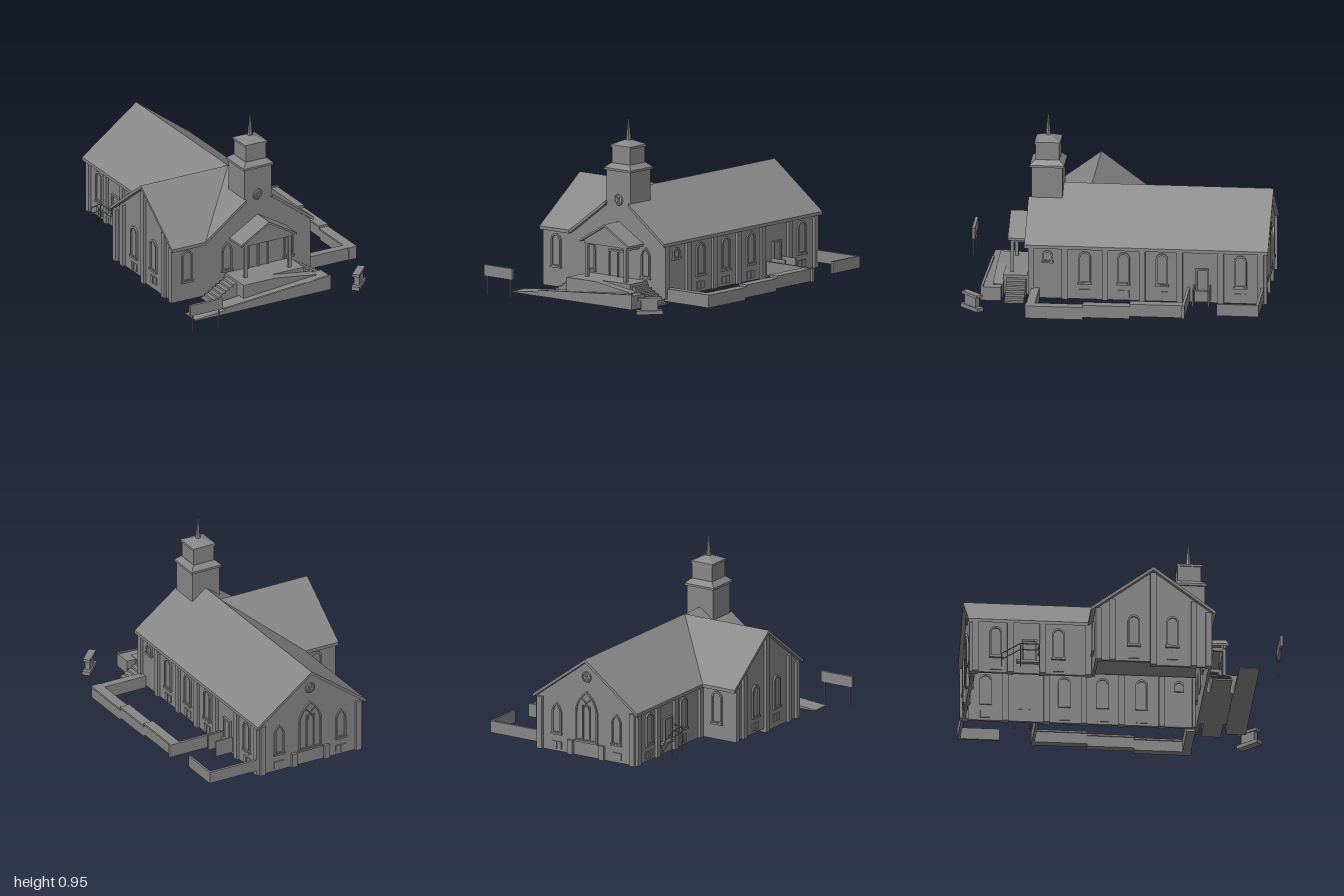
import * as THREE from 'three';

// Local frame of the church: x runs along the nave (front gable at +x), z across it.
const mat = new THREE.MeshStandardMaterial({ color: 0x878787, flatShading: true, side: THREE.DoubleSide });
const RIDGE = 0.578, SLOPE = 0.745, WING_X = 0.118;

export function createModel() {
  const model = new THREE.Group();
  const site = new THREE.Group();
  site.name = 'churchSite';
  site.rotation.y = -THREE.MathUtils.degToRad(40);
  model.add(site);

  const add = (name, geo, parent = site) => {
    const m = new THREE.Mesh(geo, mat);
    m.name = name;
    parent.add(m);
    return m;
  };
  // box given by its limits
  const box = (name, x0, x1, y0, y1, z0, z1, parent) => {
    const m = add(name, new THREE.BoxGeometry(x1 - x0, y1 - y0, z1 - z0), parent);
    m.position.set((x0 + x1) / 2, (y0 + y1) / 2, (z0 + z1) / 2);
    return m;
  };
  const poly = (pts) => new THREE.Shape(pts.map((p) => new THREE.Vector2(...p)));
  const extrude = (shape, depth) => new THREE.ExtrudeGeometry(shape, { depth, bevelEnabled: false, curveSegments: 8 });
  // profile in (z, y) pulled from x0 to x1
  const alongX = (name, pts, x0, x1) => {
    const m = add(name, extrude(poly(pts), x1 - x0));
    m.rotation.y = -Math.PI / 2;
    m.position.x = x1;
    return m;
  };
  // profile in (x, y) pulled from z0 to z1
  const alongZ = (name, pts, z0, z1) => {
    const m = add(name, extrude(poly(pts), z1 - z0));
    m.position.z = z0;
    return m;
  };
  const bar = (name, a, b, r = 0.003) => {
    const p = new THREE.Vector3(...a), q = new THREE.Vector3(...b);
    return add(name, new THREE.TubeGeometry(new THREE.LineCurve3(p, q), 1, r, 6));
  };
  const square = (name, top, bottom, y0, y1, x) => {
    const geo = new THREE.CylinderGeometry(top * Math.SQRT1_2, bottom * Math.SQRT1_2, y1 - y0, 4);
    geo.rotateY(Math.PI / 4);
    add(name, geo).position.set(x, (y0 + y1) / 2, 0);
  };

  // Walls, open underneath
  const top = (d) => RIDGE - 0.02 - SLOPE * Math.abs(d);
  alongX('frontWall', [[-0.31, 0.01], [0.515, 0.01], [0.515, top(0.31)], [0.31, top(0.31)], [0, top(0)], [-0.31, top(0.31)]], 0.415, 0.43);
  alongX('backWall', [[-0.31, 0.03], [0.31, 0.03], [0.31, top(0.31)], [0, top(0)], [-0.31, top(0.31)]], -0.83, -0.815);
  alongZ('wingGableWall', [[-0.19, 0.03], [WING_X, 0.03], [WING_X, 0.01], [0.43, 0.01], [0.43, top(0.31)], [WING_X, top(0)], [-0.19, top(0.31)]], 0.5, 0.515);
  box('rightWall', -0.83, 0.43, 0.03, 0.325, -0.31, -0.295);
  box('leftWall', -0.83, -0.19, 0.03, 0.325, 0.295, 0.31);
  box('wingBackWall', -0.19, -0.175, 0.03, 0.325, 0.3, 0.515);

  // Roofs: main gable (cut round the tower) and wing, mitred into the valleys
  const eave = RIDGE - SLOPE * 0.333;
  const chevron = (c) => [[c - 0.333, eave - 0.018], [c, RIDGE - 0.018], [c + 0.333, eave - 0.018], [c + 0.333, eave], [c, RIDGE], [c - 0.333, eave]];
  alongX('mainRoof', chevron(0), -0.853, 0.27);
  for (const s of [-1, 1]) {
    const y = RIDGE - SLOPE * 0.08;
    alongX('mainRoofFront', [[s * 0.08, y - 0.018], [s * 0.333, eave - 0.018], [s * 0.333, eave], [s * 0.08, y]], 0.27, 0.45);
  }
  const wing = alongZ('wingRoof', chevron(WING_X), 0, 0.537);
  const wp = wing.geometry.attributes.position;
  for (let i = 0; i < wp.count; i++) if (wp.getZ(i) < 0.01) wp.setZ(i, Math.abs(wp.getX(i) - WING_X));
  wing.geometry.computeVertexNormals();

  // Tower with two stages, cornices and spire
  const tx = 0.351;
  square('towerBase', 0.166, 0.166, 0.5, 0.69, tx);
  square('lowerCornice', 0.184, 0.184, 0.685, 0.697, tx);
  square('lowerTowerRoof', 0.13, 0.184, 0.697, 0.722, tx);
  square('belfry', 0.126, 0.126, 0.715, 0.812, tx);
  square('upperCornice', 0.137, 0.137, 0.808, 0.82, tx);
  square('belfryRoof', 0.03, 0.137, 0.82, 0.845, tx);
  add('spire', new THREE.CylinderGeometry(0.004, 0.016, 0.117, 8)).position.set(tx, 0.8965, 0);

  // Wall fittings: a group turned to face out of the named wall, at s along it
  const WALLS = {
    front: (s) => [0.43, s, Math.PI / 2], back: (s) => [-0.83, s, -Math.PI / 2],
    right: (s) => [s, -0.31, Math.PI], left: (s) => [s, 0.31, 0], wing: (s) => [s, 0.515, 0],
    wingBack: (s) => [-0.19, s, -Math.PI / 2],
  };
  const onWall = (name, wall, s, y) => {
    const [x, z, turn] = WALLS[wall](s), g = new THREE.Group();
    g.name = name;
    g.position.set(x, y, z);
    g.rotation.y = turn;
    site.add(g);
    return g;
  };
  const archShape = (w, h, pointed) => {
    const a = w / 2, p = new THREE.Shape(), spring = h - (pointed ? w * 0.9 : a);
    p.moveTo(-a, 0);
    p.lineTo(a, 0);
    p.lineTo(a, spring);
    if (pointed) {
      p.quadraticCurveTo(a, spring + w * 0.5, 0, h);
      p.quadraticCurveTo(-a, spring + w * 0.5, -a, spring);
    } else p.absarc(0, spring, a, 0, Math.PI, false);
    p.lineTo(-a, 0);
    return p;
  };
  // frame and pane pass through the wall, so they show inside as well
  const archWindow = (wall, s, y0 = 0.12, w = 0.066, h = 0.178, pointed = false, t = 0.009) => {
    const g = onWall('archedWindow', wall, s, y0);
    const frame = archShape(w, h, pointed);
    const hole = archShape(w - 2 * t, h - 2.2 * t, pointed);
    frame.holes.push(new THREE.Path(hole.getPoints(8).map((p) => new THREE.Vector2(p.x, p.y + t))));
    add('windowFrame', extrude(frame, 0.033), g).position.z = -0.023;
    add('windowPane', extrude(archShape(w - t, h - t, pointed), 0.019), g).position.z = -0.017;
    box('windowSill', -w / 2 - 0.004, w / 2 + 0.004, -0.006, 0.004, 0, 0.014, g);
    return g;
  };
  const roundWindow = (wall, s, y) => {
    const g = onWall('roundWindow', wall, s, y);
    add('roundFrame', new THREE.TorusGeometry(0.025, 0.006, 6, 20), g).position.z = 0.004;
    add('roundPane', new THREE.CircleGeometry(0.025, 20), g).position.z = 0.006;
    for (let i = 0; i < 3; i++) box('roundBar', -0.024, 0.024, -0.002, 0.002, 0.004, 0.009, g).rotation.z = (i * Math.PI) / 3;
  };
  const door = (wall, s, y, w, h) => {
    const g = onWall('door', wall, s, y);
    box('doorPanel', -w / 2, w / 2, 0, h, -0.018, 0.004, g);
    for (const e of [-1, 1]) box('doorJamb', e * w / 2 - 0.004, e * w / 2 + 0.004, 0, h, 0, 0.012, g);
    box('doorHead', -w / 2 - 0.006, w / 2 + 0.006, h, h + 0.01, 0, 0.012, g);
  };
  const pilaster = (wall, s, y1, y0 = 0.03) => box('pilaster', -0.016, 0.016, 0, y1 - y0, -0.025, 0.016, onWall('pilasterMount', wall, s, y0));
  const vent = (wall, s) => {
    const g = onWall('basementWindow', wall, s, 0.045);
    box('basementFrame', -0.03, 0.03, 0, 0.04, -0.02, 0.006, g);
    box('basementBar', -0.003, 0.003, 0, 0.04, 0, 0.01, g);
  };

  for (const s of [0.128, -0.08, -0.285, -0.705]) { archWindow('right', s); vent('right', s); }
  archWindow('right', 0.327, 0.235, 0.055, 0.062);
  for (const s of [0.414, 0.235, 0.019, -0.18, -0.38, -0.6, -0.814]) pilaster('right', s, 0.32);
  for (const s of [-0.705, -0.37]) { archWindow('left', s); vent('left', s); }
  for (const s of [-0.814, -0.628, -0.455, -0.21]) pilaster('left', s, 0.32);
  for (const s of [0.015, 0.221]) { archWindow('wing', s); vent('wing', s); }
  for (const s of [-0.174, -0.1, WING_X, 0.336, 0.414]) pilaster('wing', s, top(Math.abs(s - WING_X) + 0.016), s < WING_X ? 0.03 : 0.01);
  archWindow('wingBack', 0.41);
  archWindow('front', 0.435, 0.12);
  for (const s of [-0.19, 0.19]) {
    archWindow('front', s, 0.13, 0.06, 0.165, true);
    archWindow('back', s, 0.13, 0.06, 0.17, true);
    vent('back', s);
  }
  for (const s of [-0.294, -0.1, 0.1, 0.294]) pilaster('back', s, Math.abs(s) > 0.2 ? 0.32 : 0.11);
  roundWindow('front', 0, 0.53);
  roundWindow('back', 0, 0.475);
  // large pointed window with tracery
  const big = archWindow('back', 0, 0.115, 0.14, 0.28, true);
  for (const e of [-1, 1]) {
    box('mullion', e * 0.022 - 0.003, e * 0.022 + 0.003, 0, 0.2, 0, 0.009, big);
    const curve = new THREE.QuadraticBezierCurve3(new THREE.Vector3(e * 0.022, 0.15, 0.006), new THREE.Vector3(e * 0.02, 0.21, 0.006), new THREE.Vector3(-e * 0.035, 0.24, 0.006));
    add('tracery', new THREE.TubeGeometry(curve, 8, 0.003, 5), big);
  }

  // Porch: platform, columns, gabled roof and doors
  box('porchPlatform', 0.43, 0.575, 0.01, 0.115, -0.2, 0.2);
  const porchGable = [[-0.172, 0.3], [0, 0.4], [0.172, 0.3], [0.172, 0.312], [0, 0.413], [-0.172, 0.312]];
  alongX('porchRoof', porchGable, 0.43, 0.553);
  alongX('porchPediment', [[-0.15, 0.295], [0.15, 0.295], [0.15, 0.312], [0, 0.4], [-0.15, 0.312]], 0.525, 0.54);
  for (const s of [-1, 1]) {
    const z = s * 0.135;
    box('porchColumn', 0.523, 0.541, 0.115, 0.3, z - 0.009, z + 0.009);
    box('porchBeam', 0.43, 0.54, 0.282, 0.302, z - 0.008, z + 0.008);
    door('front', s * 0.03, 0.115, 0.058, 0.135);
    // side steps
    for (let i = 0; i < 7; i++) {
      const z0 = 0.2 + i * 0.023, y = 0.1 - i * 0.0135;
      box('porchStep', 0.45, 0.555, 0.01, y, s > 0 ? z0 : -z0 - 0.023, s > 0 ? z0 + 0.023 : -z0);
    }
  }
  // Switchback ramp with curb
  alongX('upperRamp', [[0.2, 0.005], [0.2, 0.115], [0, 0.115], [-0.25, 0.08], [-0.25, 0.005]], 0.57, 0.625);
  alongX('lowerRamp', [[0.53, 0.004], [0.53, 0.01], [-0.2, 0.075], [-0.305, 0.078], [-0.305, 0.004]], 0.577, 0.685);
  alongX('rampCurb', [[0.35, 0.02], [0.35, 0.036], [-0.305, 0.086], [-0.305, 0.07]], 0.672, 0.685);

  // Left side door with landing and handrail
  door('left', -0.525, 0.1, 0.07, 0.115);
  box('sideLanding', -0.595, -0.475, 0.085, 0.1, 0.31, 0.335);
  for (const drop of [0, 0.035]) {
    bar('sideRail', [-0.68, 0.11 - drop, 0.378], [-0.58, 0.172 - drop, 0.378]);
    bar('sideRail', [-0.58, 0.172 - drop, 0.378], [-0.478, 0.172 - drop, 0.378]);
    bar('sideRail', [-0.478, 0.172 - drop, 0.378], [-0.478, 0.172 - drop, 0.31]);
  }
  for (const [x, y] of [[-0.68, 0.11], [-0.58, 0.172], [-0.478, 0.172]]) bar('sideRailPost', [x, 0.035, 0.378], [x, y, 0.378]);

  // Right side door with cheek walls
  door('right', -0.5, 0.1, 0.06, 0.11);
  for (const x of [-0.542, -0.458]) box('cheekWall', x - 0.004, x + 0.004, 0.04, 0.13, -0.41, -0.31);
  box('doorStep', -0.538, -0.462, 0.04, 0.1, -0.333, -0.31);

  // Garden walls stepping up toward the back
  [[0.112, 0.42, 0.015], [-0.14, 0.112, 0.028], [-0.43, -0.14, 0.042]].forEach(([a, b, y]) => {
    box('gardenWall', a, b, y, y + 0.06, -0.615, -0.57);
    box('gardenWallCap', a, b, y + 0.06, y + 0.07, -0.62, -0.563);
  });
  box('gardenWallFront', 0.37, 0.416, 0.015, 0.085, -0.615, -0.31);
  box('gardenWallEnd', -0.435, -0.42, 0.042, 0.115, -0.63, -0.31);
  box('rearWallSide', -0.83, -0.815, 0.06, 0.125, -0.605, -0.31);
  box('rearWall', -0.83, -0.605, 0.06, 0.125, -0.615, -0.603);

  // Blank board on two posts
  box('signBoard', 0.785, 0.801, 0.097, 0.158, 0.43, 0.628);
  for (const z of [0.45, 0.61]) box('signPost', 0.79, 0.796, 0, 0.1, z - 0.003, z + 0.003);

  // Small stone monument
  const stone = new THREE.Group();
  stone.name = 'monument';
  stone.position.set(0.842, 0, 0.112);
  stone.rotation.y = 0.09;
  model.add(stone);
  box('monumentBase', -0.022, 0.022, 0.005, 0.026, -0.07, 0.07, stone);
  box('monumentBody', -0.014, 0.014, 0.026, 0.08, -0.045, 0.045, stone);
  box('monumentCap', -0.02, 0.02, 0.08, 0.095, -0.062, 0.062, stone);
  return model;
}
